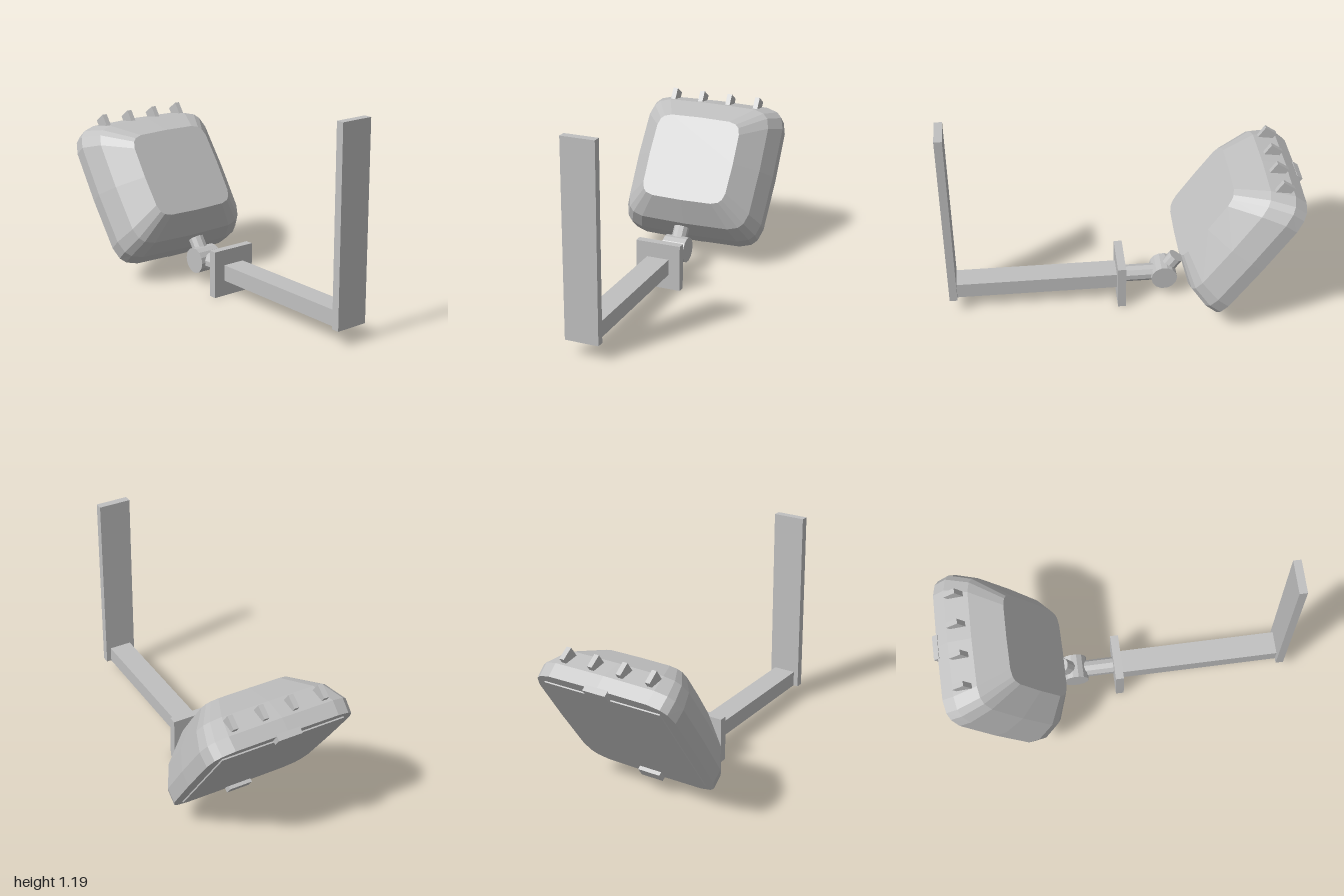
import * as THREE from 'three';

const grey = new THREE.MeshStandardMaterial({ color: 0xc0c0c0, flatShading: true });
grey.name = 'light grey';

function add(parent, name, geometry, x = 0, y = 0, z = 0) {
  const mesh = new THREE.Mesh(geometry, grey);
  mesh.name = name;
  mesh.position.set(x, y, z);
  parent.add(mesh);
  return mesh;
}

// Box given by its min/max extents on each axis
function box(parent, name, [x0, x1], [y0, y1], [z0, z1]) {
  return add(parent, name, new THREE.BoxGeometry(x1 - x0, y1 - y0, z1 - z0),
    (x0 + x1) / 2, (y0 + y1) / 2, (z0 + z1) / 2);
}

// Rounded-square shell lofted through sections [z, centre y, half width, half height]
function shellGeometry(sections) {
  const quarter = [[1, 0], [0.985, 0.7], [0.935, 0.86], [0.86, 0.935], [0.7, 0.985]];
  const outline = [];
  for (let q = 0; q < 4; q++) {
    for (let [x, y] of quarter) {
      for (let k = 0; k < q; k++) [x, y] = [-y, x];
      outline.push([x, y]);
    }
  }
  const n = outline.length;
  const positions = [];
  const index = [];
  for (const [z, cy, hx, hy] of sections) {
    for (const [x, y] of outline) positions.push(x * hx, cy + y * hy, z);
  }
  for (let s = 0; s < sections.length - 1; s++) {
    for (let i = 0; i < n; i++) {
      const a = s * n + i, b = s * n + (i + 1) % n;
      index.push(a, a + n, b, b, a + n, b + n);
    }
  }
  // Flat caps, front then back
  const last = (sections.length - 1) * n;
  for (let i = 1; i < n - 1; i++) {
    index.push(0, i, i + 1);
    index.push(last, last + i + 1, last + i);
  }
  const g = new THREE.BufferGeometry();
  g.setAttribute('position', new THREE.Float32BufferAttribute(positions, 3));
  g.setIndex(index);
  const flat = g.toNonIndexed();
  flat.computeVertexNormals();
  return flat;
}

export function createModel() {
  const model = new THREE.Group();
  model.name = 'screenOnArm';

  // Mount and arm
  box(model, 'mountingBar', [-0.096, 0.096], [0.09, 1.19], [0.955, 1]);
  box(model, 'arm', [-0.067, 0.067], [0.09, 0.182], [0.03, 0.955]);
  box(model, 'squarePlate', [-0.135, 0.135], [0, 0.272], [-0.015, 0.032]);

  // Swivel joint
  const jointY = 0.137, jointZ = -0.244;
  const axle = add(model, 'axle', new THREE.CylinderGeometry(0.049, 0.049, 0.23, 10), 0, jointY, -0.129);
  axle.rotation.x = Math.PI / 2;
  const pivot = add(model, 'pivot', new THREE.CylinderGeometry(0.075, 0.075, 0.14, 14), 0, jointY, jointZ);
  pivot.rotation.z = Math.PI / 2;

  const tilt = THREE.MathUtils.degToRad(-35);
  const joint = new THREE.Group();
  joint.name = 'stemJoint';
  joint.position.set(0, jointY, jointZ);
  joint.rotation.x = tilt;
  add(joint, 'stem', new THREE.CylinderGeometry(0.045, 0.045, 0.13, 10), 0, 0.065, 0);
  model.add(joint);

  // Tilted head
  const head = new THREE.Group();
  head.name = 'head';
  head.rotation.x = tilt;
  model.add(head);
  add(head, 'housing', shellGeometry([
    [-0.007, 0.776, 0.265, 0.258],
    [-0.139, 0.79, 0.39, 0.381],
    [-0.258, 0.8, 0.44, 0.43],
    [-0.34, 0.792, 0.435, 0.433],
  ]));
  box(head, 'screen', [-0.362, 0.362], [0.435, 1.155], [-0.348, -0.33]);

  // Clips above and below the screen
  box(head, 'upperClip', [-0.07, 0.07], [1.17, 1.228], [-0.366, -0.33]);
  box(head, 'lowerClip', [-0.07, 0.07], [0.364, 0.422], [-0.366, -0.33]);

  // Row of tabs along the top edge
  for (const x of [-0.267, -0.089, 0.089, 0.267]) {
    box(head, 'tab', [x - 0.0145, x + 0.0145], [1.14, 1.25], [-0.241, -0.163]);
  }

  return model;
}
